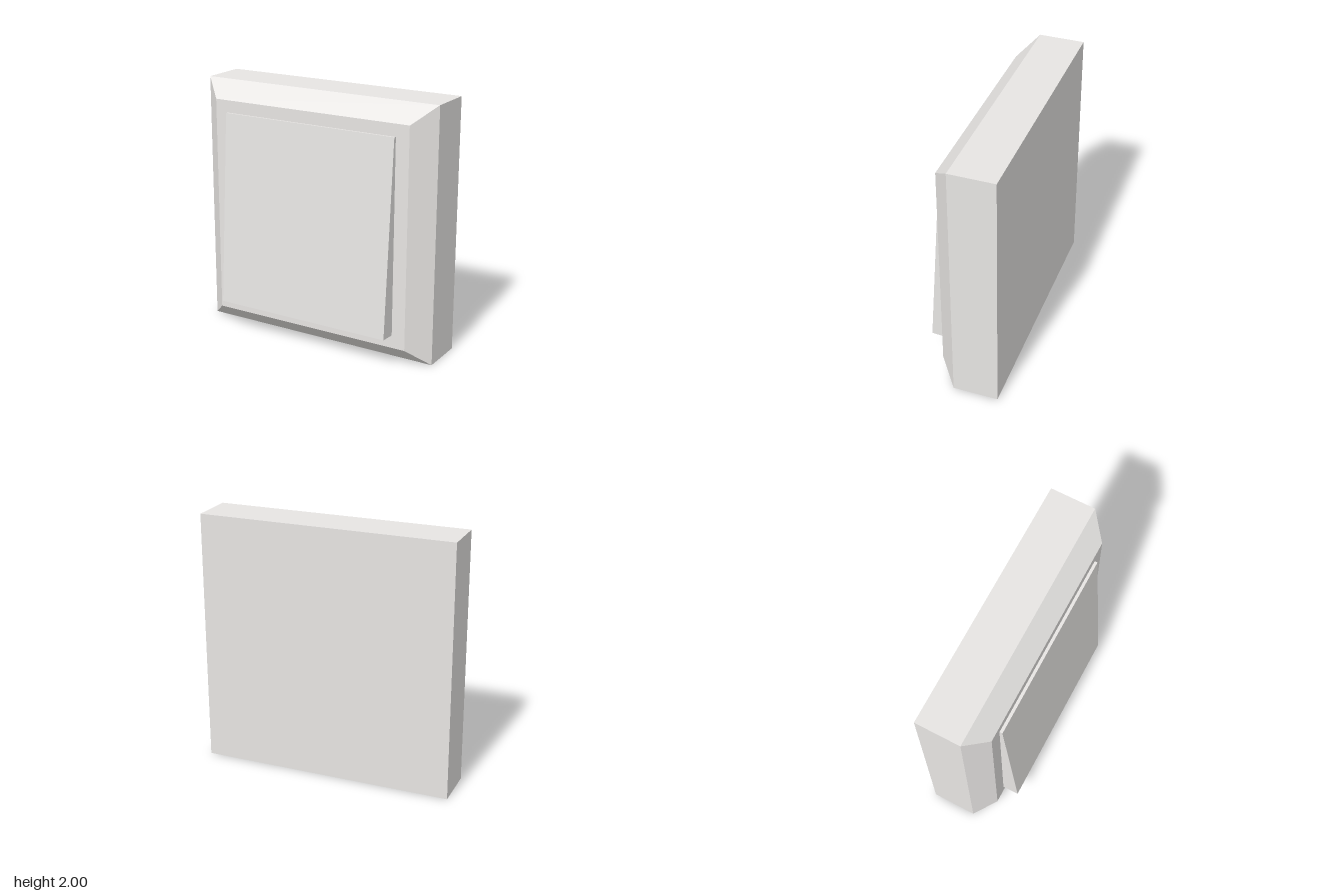
import * as THREE from 'three';

const BACK = -0.315, EDGE = 0.04, FACE = 0.185;

// Square housing whose front edge is chamfered on all four sides
function housingGeometry() {
  const geo = new THREE.BoxGeometry(2, 2, 2, 1, 1, 2);
  const pos = geo.attributes.position;
  for (let i = 0; i < pos.count; i++) {
    const z = pos.getZ(i);
    if (z > 0.5) {
      pos.setXYZ(i, pos.getX(i) * 0.84, pos.getY(i) * 0.864, FACE);
    } else {
      pos.setZ(i, z < -0.5 ? BACK : EDGE);
    }
  }
  const flat = geo.toNonIndexed();
  flat.computeVertexNormals();
  return flat;
}

export function createModel() {
  const model = new THREE.Group();
  model.name = 'wallSwitch';

  const plastic = new THREE.MeshStandardMaterial({ color: 0xe7e5e3 });
  plastic.name = 'light grey plastic';

  const housing = new THREE.Mesh(housingGeometry(), plastic);
  housing.name = 'housing';
  housing.position.y = 1;
  model.add(housing);

  // Rocker: slab sunk into the housing, tilted so its lower edge stands out
  const depth = 0.18;
  const rockerGeo = new THREE.BoxGeometry(1.464, 1.526, depth);
  rockerGeo.translate(0, 0, -depth / 2);
  const rocker = new THREE.Mesh(rockerGeo, plastic);
  rocker.name = 'rocker';
  rocker.position.set(0, 1.008, 0.2615);
  rocker.rotation.x = -Math.atan2(0.107, 1.522);
  model.add(rocker);

  return model;
}
